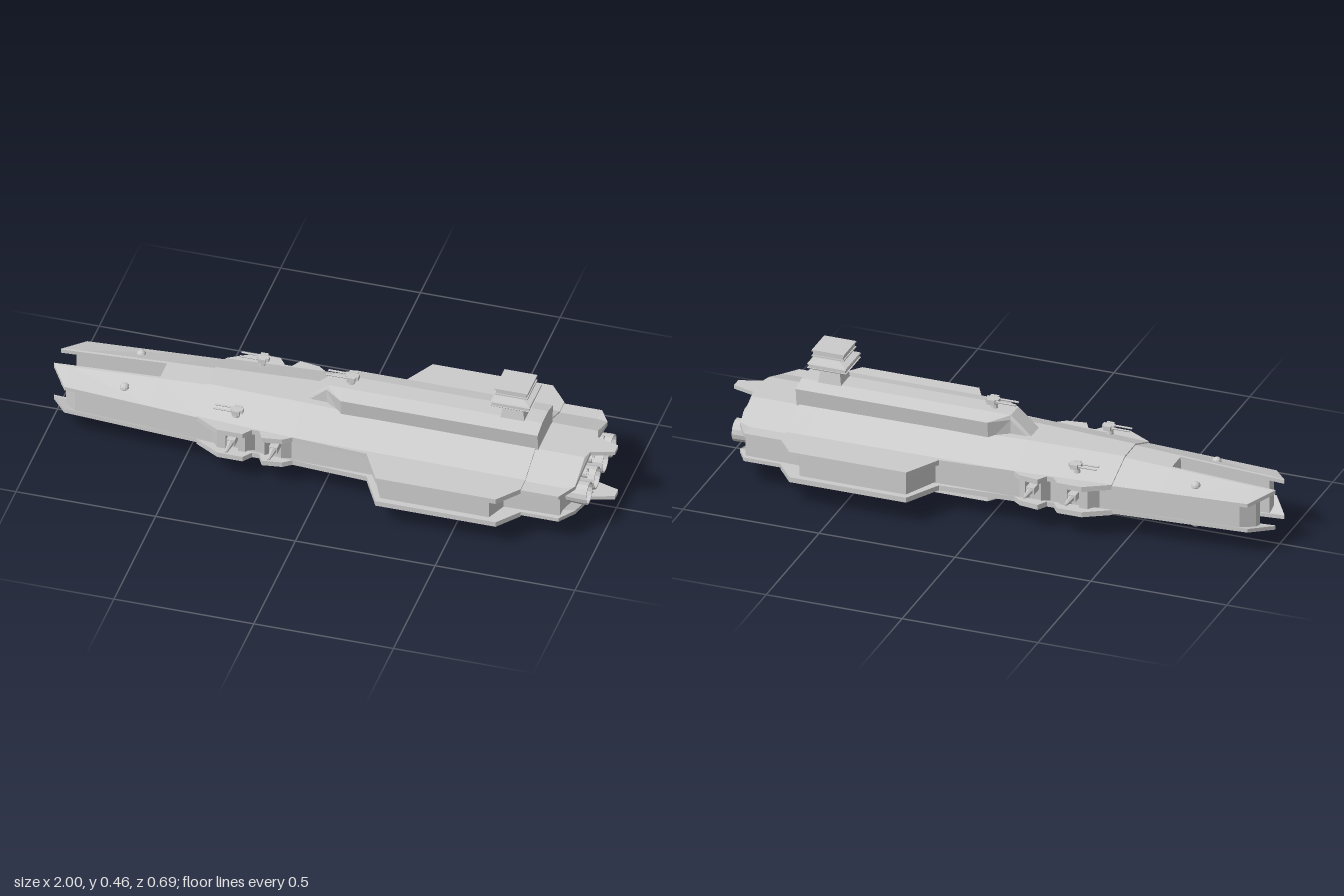
import * as THREE from 'three';

const MID = 0.15; // height of the hull's mirror plane
const mat = new THREE.MeshStandardMaterial({ color: 0xcccccc, flatShading: true });
const openMat = new THREE.MeshStandardMaterial({ color: 0xcccccc, flatShading: true, side: THREE.DoubleSide });

// piecewise linear lookup in [[x, value], ...]
function lerpTable(table, x) {
  for (let i = 1; i < table.length; i++) {
    const [x0, v0] = table[i - 1], [x1, v1] = table[i];
    if (x <= x1) return v0 + (v1 - v0) * Math.max(0, (x - x0) / (x1 - x0));
  }
  return table[table.length - 1][1];
}

// armour height: flat ridge, sloped shoulder, flat outer wing
const ridge = x => lerpTable([[-1, 0.05], [-0.45, 0.05], [0.2, 0.08], [1, 0.08]], x);
const shoulder = x => lerpTable([[-1, 0.14], [-0.45, 0.175], [-0.1, 0.2], [1, 0.21]], x);
const rise = x => lerpTable([[-1, 0.022], [-0.45, 0.051], [-0.1, 0.056], [0.74, 0.05], [1, 0.048]], x);
function armourTop(x, z) {
  const t = (shoulder(x) - z) / (shoulder(x) - ridge(x));
  return 0.203 + rise(x) * Math.min(1, Math.max(0, t));
}

// joins sections along x; each holds an upper run outwards, then the lower run back
function loft(sections, sy = 1, sz = 1) {
  const n = sections[0].length, last = (sections.length - 1) * n, index = [];
  const pos = sections.flat().flatMap(([x, y, z]) => [x, MID + (y - MID) * sy, z * sz]);
  const tri = (a, b, c) => (sy * sz > 0 ? index.push(a, b, c) : index.push(a, c, b));
  const quad = (a, b, c, d) => { tri(a, b, c); tri(a, c, d); };
  for (let s = 0; s < last; s += n)
    for (let i = 0; i < n; i++) {
      const j = (i + 1) % n;
      quad(s + i, s + j, s + n + j, s + n + i);
    }
  for (let i = 0; i < n / 2 - 1; i++) {
    const a = i, b = n - 1 - i, c = n - 2 - i, d = i + 1;
    quad(a, b, c, d);
    quad(last + d, last + c, last + b, last + a);
  }
  const g = new THREE.BufferGeometry();
  g.setAttribute('position', new THREE.Float32BufferAttribute(pos, 3));
  g.setIndex(index);
  const flat = g.toNonIndexed();
  flat.computeVertexNormals();
  return flat;
}

function add(parent, name, geometry, x = 0, y = 0, z = 0, material = mat) {
  const m = new THREE.Mesh(geometry, material);
  m.name = name;
  m.position.set(x, y, z);
  parent.add(m);
  return m;
}

// square frustum between two heights
function frustum(parent, name, x, y0, y1, half0, half1) {
  const g = new THREE.CylinderGeometry(half1 * Math.SQRT2, half0 * Math.SQRT2, y1 - y0, 4).rotateY(Math.PI / 4);
  return add(parent, name, g, x, (y0 + y1) / 2, 0);
}

const knots = (x, inner, w) => [inner, ridge(x), shoulder(x), w].map(z => Math.max(inner, Math.min(w, z)));

// armour outline: x, slot half-width, outer half-width, raised layer
const armourRows = [
  [-1, 0.04, 0.045, 0], [-0.935, 0.04, 0.138, 0], [-0.62, 0.04, 0.162, 0], [-0.62, 0, 0.162, 0],
  [-0.45, 0, 0.175, 0], [-0.45, 0, 0.177, 0.005], [-0.36, 0, 0.23, 0.005], [-0.27, 0, 0.23, 0.005],
  [-0.245, 0, 0.197, 0.005], [-0.22, 0, 0.197, 0.005], [-0.2, 0, 0.232, 0.005], [-0.13, 0, 0.222, 0.005],
  [-0.1, 0, 0.2, 0.005], [0.17, 0, 0.217, 0.005], [0.24, 0, 0.345, 0.005], [0.67, 0, 0.345, 0.005],
  [0.735, 0, 0.263, 0.005], [0.735, 0, 0.262, 0], [0.87, 0, 0.262, 0], [0.91, 0, 0.195, 0],
  [0.92, 0, 0.045, 0], [1, 0, 0.02, 0]
];
function armour(sy, sz) {
  return loft(armourRows.map(([x, inner, w, up]) => {
    const zs = knots(x, inner, w);
    return [...zs.map(z => [x, armourTop(x, z) + up, z]),
      ...zs.reverse().map(z => [x, armourTop(x, z) - 0.014, z])];
  }), sy, sz);
}

// recessed inner hull: x, slot half-width, outer half-width
const coreRows = [
  [-0.945, 0.045, 0.085], [-0.9, 0.045, 0.125], [-0.62, 0.045, 0.145], [-0.62, 0, 0.145], [-0.4, 0, 0.16],
  [-0.37, 0, 0.2], [-0.34, 0, 0.2], [-0.335, 0, 0.17], [-0.3, 0, 0.17], [-0.295, 0, 0.2], [-0.27, 0, 0.2],
  [-0.245, 0, 0.165], [-0.22, 0, 0.165], [-0.2, 0, 0.2], [-0.185, 0, 0.17], [-0.145, 0, 0.17],
  [-0.14, 0, 0.2], [-0.11, 0, 0.175], [0.19, 0, 0.195], [0.25, 0, 0.323], [0.64, 0, 0.323],
  [0.67, 0, 0.25], [0.87, 0, 0.245]
];
function core(sz) {
  return loft(coreRows.map(([x, inner, w]) => {
    const top = knots(x, inner, w).map(z => [x, armourTop(x, z) - 0.009, z]);
    return [...top, ...top.map(([, y, z]) => [x, 2 * MID - y, z]).reverse()];
  }), 1, sz);
}

// long deck block on the spine: rows of x, height, flat half-width, full half-width, foot half-width
function deck(rows, sy, sz) {
  return loft(rows.map(([x, y, a, b, c]) => [
    [x, y, 0], [x, y, a], [x, y - 0.015, b], [x, 0.24, c], [x, 0.24, a], [x, 0.24, 0]
  ]), sy, sz);
}

// twin-barrelled turret pointing at the bow
function turret(parent, x, y, z, s) {
  const t = new THREE.Group();
  t.name = 'turret';
  t.position.set(x, y, z);
  t.scale.setScalar(s);
  add(t, 'turretPost', new THREE.CylinderGeometry(0.01, 0.014, 0.024, 8), 0, 0.012, 0);
  add(t, 'turretBody', new THREE.BoxGeometry(0.045, 0.014, 0.022), 0.005, 0.028, 0);
  for (const k of [-1, 1]) {
    add(t, 'turretCheek', new THREE.BoxGeometry(0.028, 0.018, 0.011), 0.005, 0.027, k * 0.017);
    const barrel = new THREE.CylinderGeometry(0.0035, 0.0035, 0.075, 6).rotateZ(Math.PI / 2);
    add(t, 'turretBarrel', barrel, -0.043, 0.028, k * 0.012);
  }
  parent.add(t);
}

// hollow engine bell opening to the stern
function nozzle(parent, name, y, z, r, x0, x1) {
  const L = x1 - x0;
  const profile = [[0.75, 0], [0.95, L * 0.3], [1, L * 0.8], [1, L], [0.88, L], [0.8, L * 0.45], [0, L * 0.4]];
  const g = new THREE.LatheGeometry(profile.map(([k, h]) => new THREE.Vector2(k * r, h)), 14).rotateZ(-Math.PI / 2);
  add(parent, name, g, x0, y, z, openMat);
}

export function createModel() {
  const ship = new THREE.Group();
  ship.name = 'spaceship';

  for (const sz of [1, -1]) {
    add(ship, 'innerHull', core(sz));
    add(ship, 'upperArmour', armour(1, sz));
    add(ship, 'lowerArmour', armour(-1, sz));
    add(ship, 'dorsalDeck', deck([[-0.1, 0.264, 0.035, 0.04, 0.04], [-0.025, 0.331, 0.035, 0.042, 0.042],
      [0.04, 0.332, 0.036, 0.093, 0.083], [0.745, 0.332, 0.036, 0.093, 0.083]], 1, sz));
    add(ship, 'keel', deck([[-0.04, 0.27, 0.035, 0.045, 0.045], [0.04, 0.3, 0.055, 0.093, 0.083],
      [0.745, 0.3, 0.055, 0.093, 0.083]], -1, sz));

    // side guns in the hull bays
    for (const x of [-0.317, -0.165]) {
      add(ship, 'sideGunMount', new THREE.BoxGeometry(0.03, 0.025, 0.05), x, MID, sz * 0.19);
      const g = new THREE.CylinderGeometry(0.005, 0.012, 0.06, 6).rotateX(sz * Math.PI / 2);
      add(ship, 'sideGunBarrel', g, x, MID, sz * 0.24);
    }
    // sensor domes above and below the prongs
    for (const y of [0.219, 0.081])
      add(ship, 'sensorDome', new THREE.SphereGeometry(0.017, 10, 8), -0.73, y, sz * 0.1);

    turret(ship, -0.315, 0.224, sz * 0.157, 0.95);

    // engines
    for (const z of [0.05, 0.144]) nozzle(ship, 'mainEngine', MID, sz * z, 0.041, 0.85, 0.945);
    for (const [y, z] of [[0.2, 0.098], [0.1, 0.098], [0.216, 0.031], [0.084, 0.025]])
      nozzle(ship, 'smallEngine', y, sz * z, 0.017, 0.86, 0.925);
  }
  turret(ship, 0.05, 0.33, 0, 1.05);

  // command tower
  const tower = new THREE.Group();
  tower.name = 'commandTower';
  ship.add(tower);
  const cx = 0.64;
  frustum(tower, 'towerBase', cx, 0.32, 0.392, 0.044, 0.033);
  frustum(tower, 'lowerRim', cx, 0.391, 0.395, 0.068, 0.072);
  frustum(tower, 'lowerGallery', cx, 0.395, 0.409, 0.067, 0.067);
  frustum(tower, 'galleryRoof', cx, 0.409, 0.413, 0.072, 0.07);
  frustum(tower, 'galleryRoofSlope', cx, 0.413, 0.419, 0.07, 0.032);
  frustum(tower, 'towerNeck', cx, 0.418, 0.436, 0.022, 0.022);
  frustum(tower, 'bridgeFloor', cx, 0.435, 0.44, 0.059, 0.059);
  frustum(tower, 'bridge', cx, 0.44, 0.454, 0.055, 0.055);
  frustum(tower, 'bridgeRoof', cx, 0.454, 0.46, 0.059, 0.059);

  return ship;
}
